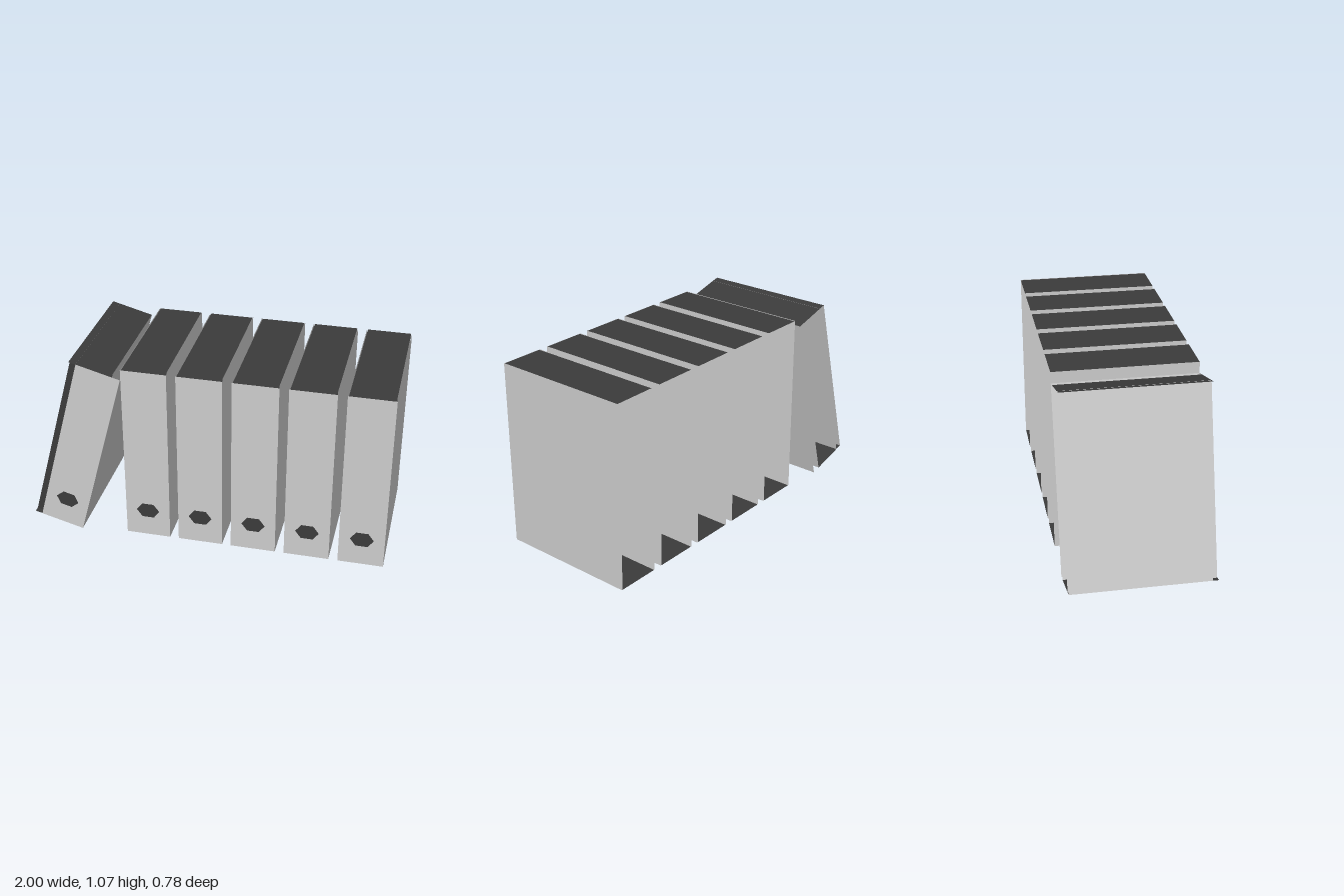
import * as THREE from 'three';

const W = 0.25, H = 1.035, D = 0.78;        // outer case
const IW = 0.24, IH = 1.033, FRONT = 0.357; // inner tray
const light = new THREE.MeshStandardMaterial({ color: 0xcccccc, side: THREE.DoubleSide });
const dark = new THREE.MeshStandardMaterial({ color: 0x3b3b3b, side: THREE.DoubleSide });

function add(parent, name, geometry, material, x = 0, y = 0, z = 0) {
  const mesh = new THREE.Mesh(geometry, material);
  mesh.name = name;
  mesh.position.set(x, y, z);
  parent.add(mesh);
  return mesh;
}

// Spine panel with a six-sided finger hole near the bottom
function spineGeometry() {
  const shape = new THREE.Shape([[-1, -1], [1, -1], [1, 1], [-1, 1]]
    .map(([x, y]) => new THREE.Vector2(x * W / 2, y * H / 2)));
  const hole = [[0.065, 0], [0.033, 0.043], [-0.033, 0.043], [-0.065, 0], [-0.033, -0.043], [0.033, -0.043]];
  shape.holes.push(new THREE.Path(hole.map(([x, y]) => new THREE.Vector2(x, y - 0.357))));
  return new THREE.ShapeGeometry(shape);
}

// Upright panel facing outward along the given side
const sidePanel = (depth, height, side) => new THREE.PlaneGeometry(depth, height).rotateY(side * Math.PI / 2);

// File box: open-backed case with a tray inside, slid sideways by trayShift
function fileBox(trayShift) {
  const box = new THREE.Group();
  const outer = new THREE.Group();
  outer.name = 'case';
  add(outer, 'spine', spineGeometry(), light, 0, 0, D / 2);
  const tray = new THREE.Group();
  tray.name = 'tray';
  tray.position.x = trayShift;
  add(tray, 'trayFront', new THREE.PlaneGeometry(IW, IH), dark, 0, 0, FRONT);
  const trayDepth = FRONT + D / 2;
  for (const s of [-1, 1]) {
    add(outer, 'caseSide', sidePanel(D, H, s), light, s * W / 2);
    add(tray, 'traySide', sidePanel(trayDepth, IH, s), light, s * IW / 2, 0, FRONT - trayDepth / 2);
    add(tray, s > 0 ? 'trayTop' : 'trayBottom',
      new THREE.PlaneGeometry(IW, D).rotateX(-s * Math.PI / 2), dark, 0, s * IH / 2);
  }
  box.add(outer, tray);
  return box;
}

export function createModel() {
  const model = new THREE.Group();
  model.name = 'fileBoxRow';
  // Upright boxes
  for (let i = 0; i < 5; i++) {
    const box = fileBox(0);
    box.name = 'uprightFileBox';
    box.position.set(-0.325 + i * 0.3, 0.5425, 0);
    model.add(box);
  }
  // Leaning box with its tray slid out to the side
  const leaning = fileBox(-0.046);
  leaning.name = 'leaningFileBox';
  leaning.position.set(-0.707, 0.532, 0);
  leaning.rotation.z = -Math.PI / 12;
  model.add(leaning);
  return model;
}
